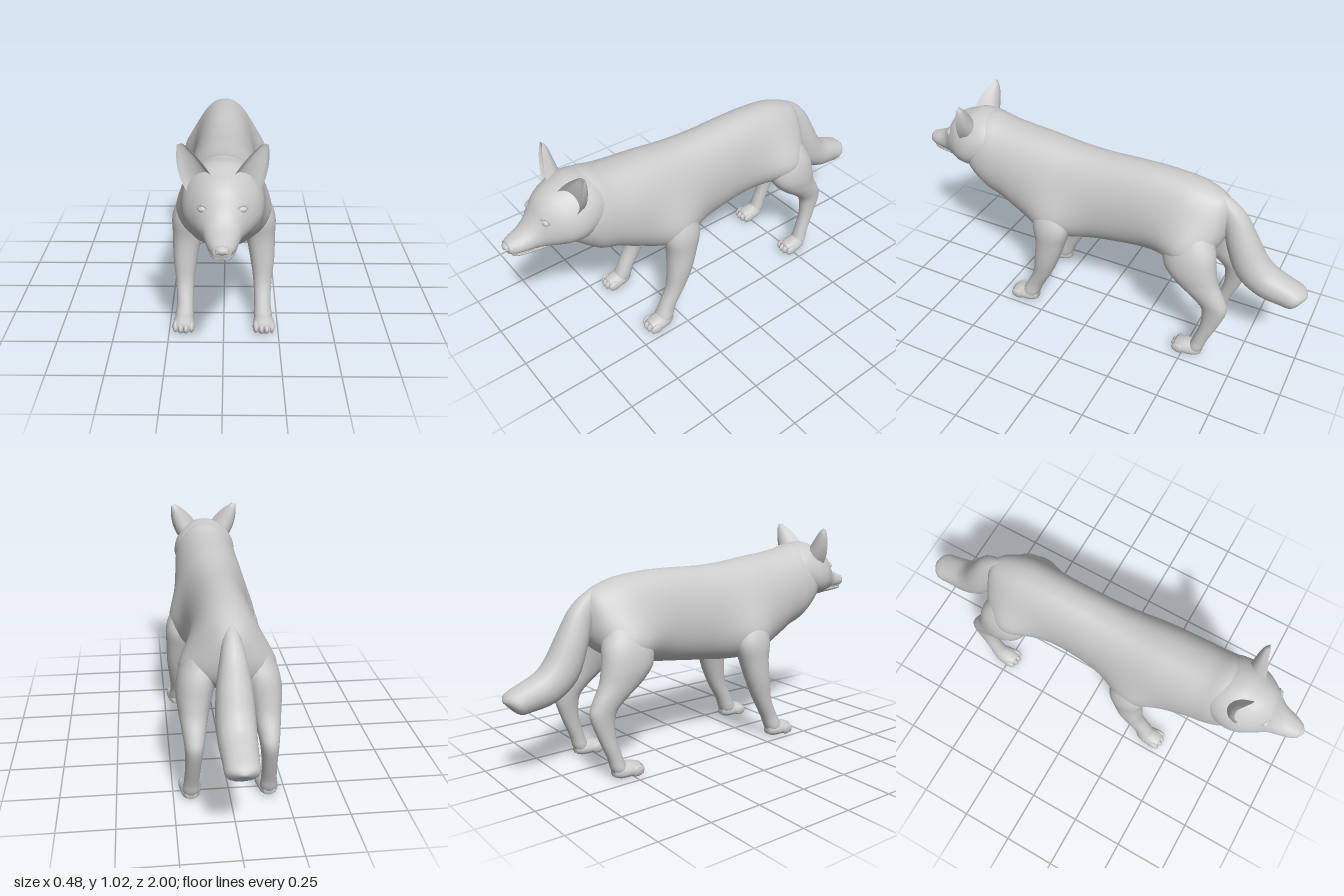
import * as THREE from 'three';

const grey = new THREE.MeshStandardMaterial({ color: 0xcccccc });
const greyThin = new THREE.MeshStandardMaterial({ color: 0xcccccc, side: THREE.DoubleSide });

function cubic(a, b, c, d, t) {
  return b + 0.5 * t * (c - a + t * (2 * a - 5 * b + 4 * c - d + t * (3 * (b - c) + d - a)));
}

// Smooth closed loft. Row: [x, y, z, radius along x, radius along v, angle of v in the yz plane, egg]
// swell(y, z) pushes the sides outward where muscles bulge
function loft(name, rows, sides = 28, steps = 4, swell = () => 0) {
  const pos = [], idx = [];
  const at = i => rows[Math.max(0, Math.min(rows.length - 1, i))];
  const rings = (rows.length - 1) * steps + 1;
  for (let i = 0; i < rings; i++) {
    const k = Math.min(rows.length - 2, Math.floor(i / steps)), t = i / steps - k;
    const [x, y, z, rx, rv, a, egg] = at(k).map((b, n) => cubic(at(k - 1)[n], b, at(k + 1)[n], at(k + 2)[n], t));
    for (let j = 0; j < sides; j++) {
      const th = j / sides * Math.PI * 2, c = Math.cos(th), s = Math.sin(th);
      const v = rv * Math.sign(s) * Math.abs(s) ** 0.95;
      const px = x + rx * Math.sign(c) * Math.abs(c) ** 0.9 * (1 - egg * s);
      const py = y + v * Math.cos(a), pz = z + v * Math.sin(a);
      pos.push(px + THREE.MathUtils.clamp(px / 0.1, -1, 1) * swell(py, pz), py, pz);
    }
  }
  for (let i = 0; i < rings - 1; i++) for (let j = 0; j < sides; j++) {
    const a = i * sides + j, b = i * sides + (j + 1) % sides;
    idx.push(a, b, a + sides, b, b + sides, a + sides);
  }
  const last = (rings - 1) * sides, n = rings * sides;
  pos.push(...at(0).slice(0, 3), ...at(rows.length).slice(0, 3));
  for (let j = 0; j < sides; j++) {
    const k = (j + 1) % sides;
    idx.push(n, k, j, n + 1, last + j, last + k);
  }
  const g = new THREE.BufferGeometry();
  g.setAttribute('position', new THREE.Float32BufferAttribute(pos, 3));
  g.setIndex(idx);
  g.computeVertexNormals();
  const m = new THREE.Mesh(g, grey);
  m.name = name;
  return m;
}

// Row helpers: slices across the spine, and level slices down a leg
const slice = ([z, top, bottom, rx, egg = 0.1]) => [0, (top + bottom) / 2, z, rx, (top - bottom) / 2, 0, egg];
const level = side => ([y, x, z, rx, rz]) => [side * x, y, z, rx, rz, Math.PI / 2, 0];

// Haunch and shoulder muscles that carry the trunk into the legs
const bump = (y, z, y0, z0, sy, sz) => Math.exp(-(((y - y0) / sy) ** 2) - ((z - z0) / sz) ** 2);
const muscles = (y, z) => 0.088 * bump(y, z, 0.56, -0.47, 0.135, 0.155) + 0.058 * bump(y, z, 0.5, 0.22, 0.15, 0.125);

function ball(name, x, y, z, rx, ry, rz) {
  const m = new THREE.Mesh(new THREE.SphereGeometry(1, 18, 12).scale(rx, ry, rz), grey);
  m.position.set(x, y, z);
  m.name = name;
  return m;
}

function tube(name, points, r) {
  const curve = new THREE.CatmullRomCurve3(points.map(p => new THREE.Vector3(...p)));
  const m = new THREE.Mesh(new THREE.TubeGeometry(curve, 16, r, 6), grey);
  m.name = name;
  return m;
}

// Paw with four toes and claws; front is the z of the toe tips
function paw(name, x, front) {
  const g = new THREE.Group();
  g.name = name;
  g.add(loft('pad', [
    [x, 0.036, front - 0.15, 0.022, 0.022, 0, 0.1], [x, 0.037, front - 0.125, 0.038, 0.034, 0, 0.15],
    [x, 0.038, front - 0.085, 0.046, 0.035, 0, 0.2], [x, 0.036, front - 0.05, 0.047, 0.031, 0, 0.2],
    [x, 0.032, front - 0.02, 0.036, 0.024, 0, 0.15]], 18, 3));
  for (const d of [-1.5, -0.5, 0.5, 1.5]) {
    const reach = Math.abs(d) > 1 ? 0.01 : 0;
    g.add(ball('toe', x + d * 0.024, 0.029, front - 0.038 - reach, 0.0145, 0.026, 0.036));
    const claw = new THREE.Mesh(new THREE.ConeGeometry(0.006, 0.02, 7), grey);
    claw.rotation.x = 2.6;
    claw.position.set(x + d * 0.025, 0.014, front - 0.012 - reach);
    claw.name = 'claw';
    g.add(claw);
  }
  return g;
}

// Cupped ear: a shallow inner sheet and a deeper outer sheet sharing one rim
function ear(side) {
  const curve = p => new THREE.QuadraticBezierCurve(...p.map(q => new THREE.Vector2(...q)));
  const inner = curve([[0.035, 0.895], [0.085, 0.975], [0.154, 1.018]]);
  const outer = curve([[0.125, 0.815], [0.188, 0.9], [0.173, 1.012]]);
  const g = new THREE.Group();
  g.name = side > 0 ? 'leftEar' : 'rightEar';
  for (const [name, depth] of [['earInside', 0.035], ['earBack', 0.085]]) {
    const geo = new THREE.PlaneGeometry(1, 1, 12, 12), p = geo.attributes.position;
    for (let i = 0; i < p.count; i++) {
      const u = p.getX(i) + 0.5, v = p.getY(i) + 0.5;
      const q = inner.getPoint(v).lerp(outer.getPoint(v), u);
      const rim = THREE.MathUtils.lerp(0.745 - 0.025 * u, 0.69, v ** 1.5);
      p.setXYZ(i, side * q.x, q.y, rim - depth * Math.sqrt(4 * u * (1 - u)) * (1 - v) ** 0.6);
    }
    geo.computeVertexNormals();
    const m = new THREE.Mesh(geo, greyThin);
    m.name = name;
    g.add(m);
  }
  return g;
}

export function createModel() {
  const model = new THREE.Group();
  model.name = 'wolf';

  // Trunk, from rump to throat
  model.add(loft('body', [
    [-0.605, 0.785, 0.62, 0.045], [-0.565, 0.822, 0.55, 0.095], [-0.45, 0.86, 0.488, 0.136],
    [-0.3, 0.875, 0.457, 0.143], [-0.15, 0.875, 0.435, 0.146], [0, 0.87, 0.415, 0.153],
    [0.15, 0.875, 0.4, 0.164], [0.3, 0.89, 0.41, 0.176], [0.42, 0.9, 0.455, 0.175],
    [0.52, 0.913, 0.507, 0.167], [0.6, 0.932, 0.537, 0.162], [0.67, 0.92, 0.595, 0.148],
    [0.74, 0.86, 0.655, 0.1]].map(slice), 48, 5, muscles));

  // Head with cheek ruff, tapering into the muzzle
  const head = new THREE.Group();
  head.name = 'head';
  head.add(loft('skull', [
    [0.55, 0.9, 0.74, 0.12], [0.61, 0.93, 0.69, 0.15, 0.15], [0.68, 0.938, 0.658, 0.159, 0.2],
    [0.74, 0.918, 0.655, 0.148, 0.2], [0.785, 0.9, 0.658, 0.126, 0.18], [0.825, 0.866, 0.663, 0.1, 0.15],
    [0.86, 0.812, 0.668, 0.077, 0.12], [0.9, 0.77, 0.674, 0.064, 0.12], [0.95, 0.748, 0.678, 0.05, 0.1],
    [0.983, 0.735, 0.685, 0.033, 0.05]].map(slice), 36));
  head.add(loft('lowerJaw', [
    [0.76, 0.7, 0.654, 0.075], [0.83, 0.7, 0.658, 0.064], [0.9, 0.698, 0.66, 0.053],
    [0.945, 0.693, 0.663, 0.042], [0.968, 0.687, 0.668, 0.026]].map(slice), 20));
  head.add(ball('nose', 0, 0.714, 0.978, 0.026, 0.017, 0.02));
  for (const s of [1, -1]) {
    head.add(ear(s));
    head.add(ball('nostril', s * 0.015, 0.71, 0.986, 0.009, 0.008, 0.008));
    head.add(ball('eye', s * 0.071, 0.807, 0.828, 0.021, 0.013, 0.014));
    head.add(tube('upperLid', [[s * 0.048, 0.803, 0.845], [s * 0.06, 0.82, 0.836],
      [s * 0.08, 0.822, 0.823], [s * 0.096, 0.805, 0.816]], 0.005));
    head.add(tube('lip', [[s * 0.01, 0.687, 0.982], [s * 0.038, 0.686, 0.95],
      [s * 0.05, 0.687, 0.9], [s * 0.064, 0.693, 0.85]], 0.004));
  }
  model.add(head);

  for (const s of [1, -1]) {
    const word = s > 0 ? 'left' : 'right';
    // Front leg, from inside the shoulder to the wrist
    model.add(loft(word + 'FrontLeg', [
      [0.67, 0.1, 0.235, 0.045, 0.04], [0.58, 0.138, 0.225, 0.07, 0.075], [0.5, 0.161, 0.217, 0.075, 0.092],
      [0.41, 0.169, 0.222, 0.067, 0.075], [0.3, 0.178, 0.243, 0.056, 0.061], [0.2, 0.18, 0.272, 0.043, 0.047],
      [0.11, 0.179, 0.318, 0.038, 0.043], [0.05, 0.182, 0.345, 0.042, 0.045],
      [0.02, 0.182, 0.35, 0.03, 0.035]].map(level(s)), 24));
    model.add(paw(word + 'FrontPaw', s * 0.184, 0.455));
    // Hind leg, from inside the haunch over the hock to the ankle
    model.add(loft(word + 'HindLeg', [
      [0.72, 0.07, -0.475, 0.05, 0.06], [0.65, 0.105, -0.475, 0.074, 0.09], [0.58, 0.132, -0.478, 0.083, 0.118],
      [0.5, 0.148, -0.488, 0.08, 0.123], [0.43, 0.155, -0.525, 0.066, 0.104], [0.36, 0.158, -0.588, 0.051, 0.078],
      [0.3, 0.16, -0.624, 0.041, 0.06], [0.2, 0.165, -0.61, 0.034, 0.041], [0.1, 0.17, -0.576, 0.034, 0.034],
      [0.05, 0.172, -0.56, 0.038, 0.036], [0.02, 0.172, -0.55, 0.028, 0.028]].map(level(s)), 24));
    model.add(paw(word + 'HindPaw', s * 0.173, -0.437));
  }

  // Bushy tail, from the blunt tip up to its root
  model.add(loft('tail', [
    [0, 0.39, -0.998, 0.012, 0.008, -0.5, 0], [0, 0.378, -0.962, 0.066, 0.05, -0.4, 0],
    [0, 0.393, -0.9, 0.073, 0.064, -0.2, 0], [0, 0.423, -0.805, 0.08, 0.077, -0.4, 0],
    [0, 0.49, -0.728, 0.082, 0.083, -0.85, 0], [0, 0.6, -0.675, 0.074, 0.073, -1.1, 0],
    [0, 0.71, -0.627, 0.054, 0.058, -1.0, 0], [0, 0.775, -0.57, 0.036, 0.043, -0.7, 0],
    [0, 0.8, -0.52, 0.025, 0.035, -0.3, 0]], 16));
  return model;
}
